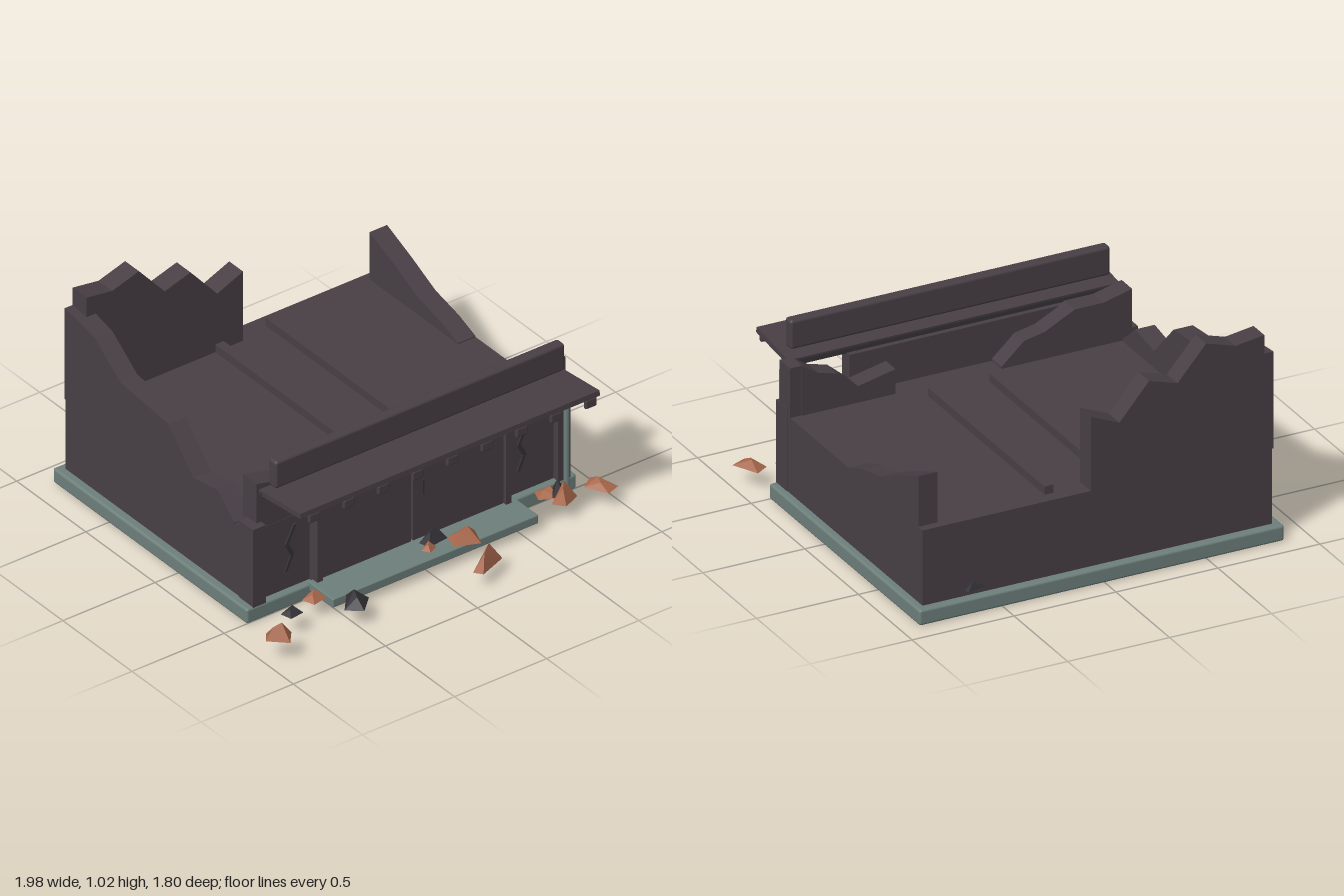
import * as THREE from 'three';
import { RoundedBoxGeometry } from 'three/addons/geometries/RoundedBoxGeometry.js';
import { ConvexGeometry } from 'three/addons/geometries/ConvexGeometry.js';

export function createModel() {
  const root = new THREE.Group();
  root.name = 'ruinedShop';
  const mat = (name, color) => {
    const m = new THREE.MeshStandardMaterial({ color });
    m.name = name;
    return m;
  };
  const wall = mat('charredWall', 0x483f45);
  const soot = mat('soot', 0x353237);
  const stone = mat('greyStone', 0x6e807b);
  const brick = mat('brick', 0xa9684c);

  const add = (name, geo, material, parent = root) => {
    const m = new THREE.Mesh(geo, material);
    m.name = name;
    parent.add(m);
    return m;
  };
  // Box given by its minimum and maximum corners, optionally with rounded edges
  const box = (name, a, b, material, r = 0) => {
    const s = a.map((v, i) => b[i] - v);
    const geo = r ? new RoundedBoxGeometry(...s, 2, r) : new THREE.BoxGeometry(...s);
    geo.translate(...a.map((v, i) => (v + b[i]) / 2));
    return add(name, geo, material);
  };

  // Foundation and doorstep
  box('foundation', [-0.88, 0, -0.9], [0.91, 0.075, 0.505], stone, 0.012);
  box('doorstep', [-0.54, 0.04, 0.49], [0.575, 0.085, 0.675], stone, 0.006);

  // Solid lower storey, with fallen beams lying on its top
  const deck = 0.44;
  box('lowerStorey', [-0.84, 0.07, -0.86], [0.875, deck, 0.47], wall);
  for (const x of [-0.1, 0.2]) {
    box('fallenBeam', [x, deck - 0.01, -0.8], [x + 0.045, 0.48, 0.285], wall);
  }

  // Broken upper walls: jagged outline from the deck up
  const ragged = (name, top, depth) => {
    const shape = new THREE.Shape();
    shape.moveTo(top[0][0], deck);
    top.forEach(p => shape.lineTo(...p));
    shape.lineTo(top[top.length - 1][0], deck);
    return add(name, new THREE.ExtrudeGeometry(shape, { depth, bevelEnabled: false }), wall);
  };
  ragged('backWall', [[-0.8, 1], [-0.66, 0.98], [-0.515, 1.025], [-0.375, 0.865],
    [-0.235, 0.908], [-0.09, 0.74], [0.05, 0.8]], 0.1).position.z = -0.862;
  ragged('frontWallRight', [[-0.8, 0.68], [-0.66, 0.645], [-0.52, 0.645], [-0.37, 0.57],
    [-0.27, 0.55], [-0.16, 0.45]], 0.098).position.z = 0.37;
  ragged('frontWallLeft', [[0.36, 0.56], [0.545, 0.52], [0.645, 0.605], [0.74, 0.63],
    [0.82, 0.68]], 0.098).position.z = 0.37;
  // Side walls: the outline runs along z
  const sideWall = (name, top, outerX) => {
    const m = ragged(name, top, 0.095);
    m.rotation.y = -Math.PI / 2;
    m.position.x = outerX;
  };
  sideWall('rightWall', [[-0.862, 0.91], [-0.77, 0.9], [-0.64, 0.87], [-0.46, 0.74],
    [-0.11, 0.705], [0.07, 0.52], [0.245, 0.55], [0.37, 0.445]], -0.75);
  sideWall('leftWall', [[-0.82, 0.685], [-0.64, 0.61], [-0.47, 0.53], [-0.3, 0.49],
    [-0.18, 0.445]], 0.875);

  // Front corner posts
  for (const [x0, x1] of [[-0.845, -0.775], [0.81, 0.878]]) {
    box('cornerPost', [x0, 0.07, 0.4], [x1, 0.475, 0.502], wall);
  }
  box('postStub', [0.815, deck, 0.375], [0.875, 0.68, 0.472], wall);

  // Shop front: double shutter with a frame and a thin handle
  box('shutterBacking', [-0.51, 0.075, 0.46], [0.54, 0.63, 0.495], wall);
  box('shutter', [-0.48, 0.08, 0.47], [0.008, 0.62, 0.51], wall);
  box('shutter', [0.018, 0.08, 0.47], [0.51, 0.62, 0.51], wall);
  for (const x of [-0.515, 0.51]) {
    box('frameSide', [x, 0.075, 0.47], [x + 0.03, 0.63, 0.528], wall);
  }
  box('frameTop', [-0.515, 0.605, 0.47], [0.54, 0.63, 0.528], wall);
  box('handle', [0.067, 0.31, 0.508], [0.075, 0.385, 0.518], soot);

  // Zigzag cracks on the wall beside the shutters
  const crack = (x, y) => {
    const mid = [[0.05, 0.23], [0.005, 0.14], [0.035, 0.08], [0, 0]];
    const shape = new THREE.Shape();
    mid.forEach(([a, b], i) => (i ? shape.lineTo(a, b) : shape.moveTo(a, b)));
    [...mid].reverse().forEach(([a, b]) => shape.lineTo(a + 0.017, b + 0.004));
    const geo = new THREE.ExtrudeGeometry(shape, { depth: 0.009, bevelEnabled: false });
    add('crack', geo, soot).position.set(x, y, 0.469);
  };
  crack(-0.655, 0.165);
  crack(0.605, 0.185);

  // Sloping canopy with hanging tabs along the front edge
  const canopy = add('canopy', new THREE.BoxGeometry(1.625, 0.026, 0.3), wall);
  canopy.position.set(0.013, 0.662, 0.635);
  canopy.rotation.x = -0.1;
  box('canopyRail', [-0.8, 0.625, 0.485], [0.82, 0.655, 0.515], soot, 0.006);
  for (let i = 0; i < 9; i++) {
    const x = -0.72 + i * 0.1875;
    box('canopyTab', [x - 0.031, 0.618, 0.765], [x + 0.031, 0.665, 0.786], wall, 0.008);
  }

  // Blank sign board above the canopy
  box('signBoard', [-0.77, 0.69, 0.512], [0.8, 0.83, 0.568], wall, 0.014);

  // Drainpipe
  const pipe = add('drainpipe', new THREE.CylinderGeometry(0.014, 0.014, 0.52, 10), stone);
  pipe.position.set(0.828, 0.33, 0.54);

  // Rubble: faceted wedges with a short ridge
  const rubble = (name, x, y, z, w, h, d, turn, material) => {
    const pts = [[-0.5, 0, -0.42], [0.5, 0.05, -0.5], [0.46, 0, 0.5], [-0.5, 0.08, 0.45],
      [-0.22, 0.8, 0.08], [0.12, 1, -0.1]].map(p => new THREE.Vector3(p[0] * w, p[1] * h, p[2] * d));
    const m = add(name, new ConvexGeometry(pts), material);
    m.position.set(x, y, z);
    m.rotation.y = turn;
  };
  [[-0.933, 0.11, 0.805, 0.11, 0.075, 0.08, -0.65],
    [0.175, 0.07, 0.84, 0.17, 0.1, 0.06, 0.42],
    [0.92, 0.09, 0.66, 0.08, 0.04, 0.14, 0.45],
    [-0.595, 0.08, 0.61, 0.09, 0.04, 0.08, 0.3],
    [0.2, 0.085, 0.64, 0.13, 0.065, 0.1, -0.3],
    [0.02, 0.1, 0.62, 0.06, 0.035, 0.05, 0.5],
    [0.74, 0.08, 0.64, 0.11, 0.09, 0.08, 0.5],
    [0.71, 0.075, 0.56, 0.1, 0.04, 0.08, -0.4]].forEach(a => rubble('brickRubble', ...a, brick));
  [[-0.76, 0.1, 0.67, 0.08, 0.035, 0.07, 0.2],
    [-0.48, 0.085, 0.76, 0.12, 0.065, 0.1, 0.8],
    [0.09, 0.085, 0.56, 0.12, 0.07, 0.07, 0.2],
    [0.74, 0.09, 0.6, 0.07, 0.07, 0.06, 0.9],
    [0.62, 0.1, -0.855, 0.1, 0.035, 0.05, 0.2]].forEach(a => rubble('sootyRubble', ...a, soot));

  return root;
}
